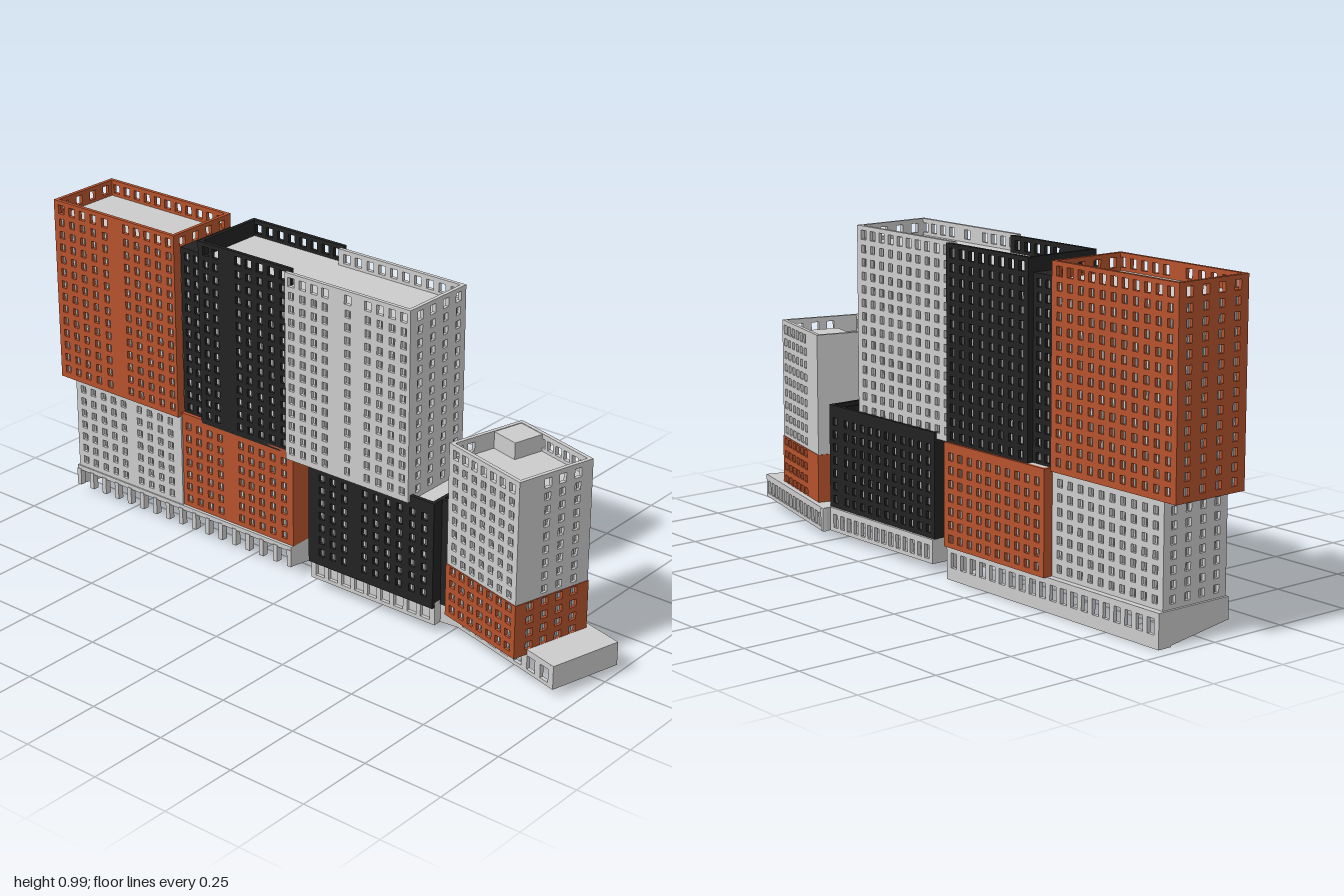
import * as THREE from 'three';
import { mergeGeometries } from 'three/addons/utils/BufferGeometryUtils.js';

const mat = (color) => new THREE.MeshStandardMaterial({ color, side: THREE.DoubleSide });
const GREY = mat(0xcccccc), ORANGE = mat(0xb5522d), BLACK = mat(0x222222);
const T = 0.012; // wall thickness

function add(parent, name, geo, material) {
  const mesh = new THREE.Mesh(geo, material);
  mesh.name = name;
  parent.add(mesh);
  return mesh;
}

function box(x0, x1, y0, y1, z0, z1) {
  return new THREE.BoxGeometry(x1 - x0, y1 - y0, z1 - z0)
    .translate((x0 + x1) / 2, (y0 + y1) / 2, (z0 + z1) / 2);
}

// n window centres spread evenly between two distances along a wall
const spread = (n, a, b) => Array.from({ length: n }, (_, i) => a + ((b - a) * (i + 0.5)) / n);

// Wall panel from plan point a to b (outside on the viewer's side), with window openings [x, y, w, h, hasMullion]
function wall(parent, name, material, a, b, y0, y1, openings) {
  const len = Math.hypot(b[0] - a[0], b[1] - a[1]);
  const shape = new THREE.Shape([[0, y0], [len, y0], [len, y1], [0, y1]].map((p) => new THREE.Vector2(...p)));
  const bars = [];
  for (const [x, y, w, h, mullion] of openings) {
    const l = x - w / 2, r = x + w / 2, d = y - h / 2, u = y + h / 2;
    shape.holes.push(new THREE.Path([[l, d], [l, u], [r, u], [r, d]].map((p) => new THREE.Vector2(...p))));
    if (mullion) bars.push(box(x - 0.0012, x + 0.0012, d, u, -0.011, -0.006));
  }
  const g = new THREE.Group();
  g.name = name;
  g.position.set(a[0], 0, a[1]);
  g.rotation.y = Math.atan2(a[1] - b[1], b[0] - a[0]);
  add(g, name + 'Panel', new THREE.ExtrudeGeometry(shape, { depth: T, bevelEnabled: false }).translate(0, 0, -T), material);
  if (bars.length) add(g, name + 'Mullions', mergeGeometries(bars), GREY);
  parent.add(g);
}

// Building block: perforated walls around a plain core; cols holds window centres per side (missing = no wall)
function block(parent, name, material, o) {
  const { x: [x0, x1], y: [y0, y1], z: [z0, z1], cols, rows, first, step = 0.0405, w = 0.02, h = 0.023, roof = y1, top } = o;
  const g = new THREE.Group();
  g.name = name;
  const sides = {
    Front: [[x0, z1], [x1, z1]], Right: [[x1, z1], [x1, z0]],
    Back: [[x1, z0], [x0, z0]], Left: [[x0, z0], [x0, z1]],
  };
  for (const [side, [a, b]] of Object.entries(sides)) {
    const list = cols[side];
    if (!list) continue;
    const holes = [];
    for (const c of list) {
      for (let i = 0; i < rows; i++) holes.push([c, first + i * step, w, h, true]);
      if (top) holes.push([c, top, w * 1.2, 0.028, false]);
    }
    wall(g, 'wall' + side, material, a, b, y0, y1, holes);
  }
  const i = 0.01;
  add(g, 'core', box(x0 + (cols.Left ? i : 0), x1 - (cols.Right ? i : 0), y0 + 0.003, roof, z0 + i, z1 - i), GREY);
  add(g, 'soffit', box(x0 + 0.001, x1 - 0.001, y0, y0 + 0.004, z0 + 0.001, z1 - 0.001), material);
  if (o.darkRoof) add(g, 'roof', box(x0, x1, y1 - 0.002, y1 + 0.002, z0, z1), material);
  parent.add(g);
}

// Low wall with a row of openings
function podiumWall(parent, name, a, b, y0, y1, n, w, oy, oh) {
  const len = Math.hypot(b[0] - a[0], b[1] - a[1]);
  wall(parent, name, GREY, a, b, y0, y1, spread(n, 0.01, len - 0.01).map((x) => [x, oy, w, oh, false]));
}

export function createModel() {
  const model = new THREE.Group();
  model.name = 'apartmentComplex';
  const at = (x0, ...xs) => xs.map((x) => x - x0);

  // Upper slabs
  const upper = { rows: 13, first: 0.43, top: 0.958, roof: 0.935 };
  block(model, 'upperOrangeSlab', ORANGE, {
    ...upper, x: [-1, -0.505], y: [0.4, 0.985], z: [-0.152, 0.1],
    cols: {
      Front: at(-1, -0.97, -0.926, -0.882, -0.836, -0.788, -0.7, -0.657, -0.613, -0.57, -0.526),
      Back: spread(11, 0.01, 0.485), Left: spread(4, 0.01, 0.242), Right: spread(4, 0.01, 0.242),
    },
  });
  block(model, 'upperBlackStair', BLACK, {
    x: [-0.505, -0.425], y: [0.4, 0.94], z: [-0.148, 0.07], rows: 13, first: 0.43, darkRoof: true,
    cols: { Front: [0.024, 0.06], Back: [0.024, 0.06] },
  });
  block(model, 'upperBlackSlab', BLACK, {
    ...upper, x: [-0.425, -0.068], y: [0.4, 0.985], z: [-0.167, 0.082],
    cols: {
      Front: at(-0.425, -0.395, -0.358, -0.27, -0.23, -0.187, -0.144, -0.1),
      Back: spread(8, 0.005, 0.35), Left: [],
    },
  });
  block(model, 'upperGreySlab', GREY, {
    ...upper, x: [-0.068, 0.385], y: [0.4, 0.985], z: [-0.142, 0.11],
    cols: {
      Front: at(-0.068, -0.044, -0.002, 0.04, 0.08, 0.163, 0.235, 0.278, 0.321, 0.362),
      Back: spread(10, 0.01, 0.443), Right: at(0, 0.045, 0.102, 0.16, 0.218),
    },
  });

  // Lower slabs
  const lower = { rows: 7, first: 0.127 };
  block(model, 'lowerGreySlab', GREY, {
    ...lower, x: [-0.95, -0.505], y: [0.1, 0.402], z: [-0.145, 0.088],
    cols: {
      Front: at(-0.95, -0.92, -0.877, -0.833, -0.79, -0.747, -0.68, -0.637, -0.593, -0.55),
      Back: spread(10, 0.01, 0.435), Left: spread(4, 0.01, 0.223),
    },
  });
  block(model, 'lowerOrangeSlab', ORANGE, {
    ...lower, x: [-0.505, -0.065], y: [0.1, 0.41], z: [-0.175, 0.082],
    cols: {
      Front: at(-0.505, -0.48, -0.438, -0.395, -0.352, -0.268, -0.228, -0.187, -0.144, -0.1),
      Back: spread(10, 0.01, 0.43), Right: [], Left: [],
    },
  });
  block(model, 'lowerBlackSlab', BLACK, {
    ...lower, x: [0.01, 0.47], y: [0.085, 0.42], z: [-0.15, 0.1], roof: 0.402,
    cols: {
      Front: at(0.01, 0.06, 0.102, 0.145, 0.22, 0.262, 0.305, 0.347, 0.394, 0.437),
      Back: spread(11, 0.01, 0.45), Left: [], Right: [],
    },
  });
  block(model, 'lowerBlackLink', BLACK, {
    ...lower, x: [0.47, 0.525], y: [0.085, 0.42], z: [-0.15, 0.062], roof: 0.402,
    cols: { Front: [], Back: [0.028], Right: [] },
  });

  // Turned tower at the left end
  const tower = new THREE.Group();
  tower.name = 'turnedTower';
  tower.position.set(0.7, 0, 0.015);
  tower.rotation.y = -0.262;
  block(tower, 'towerBase', ORANGE, {
    x: [-0.155, 0.155], y: [0.085, 0.25], z: [-0.131, 0.131], rows: 4, first: 0.112, w: 0.024,
    cols: { Front: spread(7, 0.01, 0.3), Right: [0.052, 0.104, 0.156, 0.208], Back: spread(6, 0.01, 0.22), Left: [0.19, 0.23] },
  });
  block(tower, 'towerShaft', GREY, {
    x: [-0.153, 0.153], y: [0.25, 0.625], z: [-0.129, 0.129], rows: 8, first: 0.272, roof: 0.572, top: 0.596,
    cols: { Front: spread(7, 0.01, 0.296), Right: [0.1, 0.152, 0.206], Back: spread(6, 0.01, 0.22), Left: [0.19, 0.23] },
  });
  add(tower, 'stairPenthouse', box(-0.152, -0.05, 0.57, 0.623, -0.128, -0.02), GREY);
  model.add(tower);

  // Main podium: pillared front, windowed back, side walls following the falling ground
  const podium = new THREE.Group();
  podium.name = 'mainPodium';
  const [px0, px1, pz0, pz1] = [-0.957, -0.065, -0.165, 0.092];
  add(podium, 'frontLintel', box(px0, px1, 0.086, 0.1, pz1 - T, pz1), GREY);
  for (let i = 0; i <= 16; i++) {
    const x = px0 + 0.008 + ((px1 - px0 - 0.016) * i) / 16;
    add(podium, 'frontPillar', box(x - 0.008, x + 0.008, 0.035, 0.09, pz1 - 0.018, pz1 + 0.002), GREY);
  }
  podiumWall(podium, 'podiumBack', [px1, pz0], [px0, pz0], 0, 0.1, 20, 0.026, 0.06, 0.045);
  const side = new THREE.Shape([[-pz1, 0.036], [0.12, 0.004], [0.12, 0], [-pz0, 0], [-pz0, 0.1], [-pz1, 0.1]]
    .map((p) => new THREE.Vector2(...p)));
  for (const x of [px0, px1 - T]) {
    add(podium, 'podiumSide', new THREE.ExtrudeGeometry(side, { depth: T, bevelEnabled: false })
      .rotateY(Math.PI / 2).translate(x, 0, 0), GREY);
  }
  add(podium, 'podiumDeck', box(px0, px1, 0.096, 0.101, pz0, pz1), GREY);
  model.add(podium);

  // Bent podium under the black slab and tower, open below
  const bent = new THREE.Group();
  bent.name = 'bentPodium';
  const plan = [[0.01, -0.158], [0.01, 0.088], [0.47, 0.088], [0.47, 0.06], [0.53, 0.055],
    [0.938, 0.166], [0.998, -0.06], [0.515, -0.186], [0.515, -0.158]];
  const windows = { 1: 9, 4: 7, 6: 15, 8: 14 }; // openings per long wall
  plan.forEach((a, i) => {
    const b = plan[(i + 1) % plan.length];
    podiumWall(bent, 'podiumWall', a, b, 0.027, 0.099, windows[i] || 0, i > 5 ? 0.021 : 0.034, 0.06, 0.042);
  });
  // Glazing set back behind the front openings
  add(bent, 'frontGlazing', box(0.02, 0.46, 0.03, 0.09, 0.074, 0.077), GREY);
  const deck = new THREE.Shape(plan.map((p) => new THREE.Vector2(...p)));
  add(bent, 'podiumDeck', new THREE.ExtrudeGeometry(deck, { depth: 0.006, bevelEnabled: false })
    .rotateX(Math.PI / 2).translate(0, 0.1, 0), GREY);
  model.add(bent);

  return model;
}
